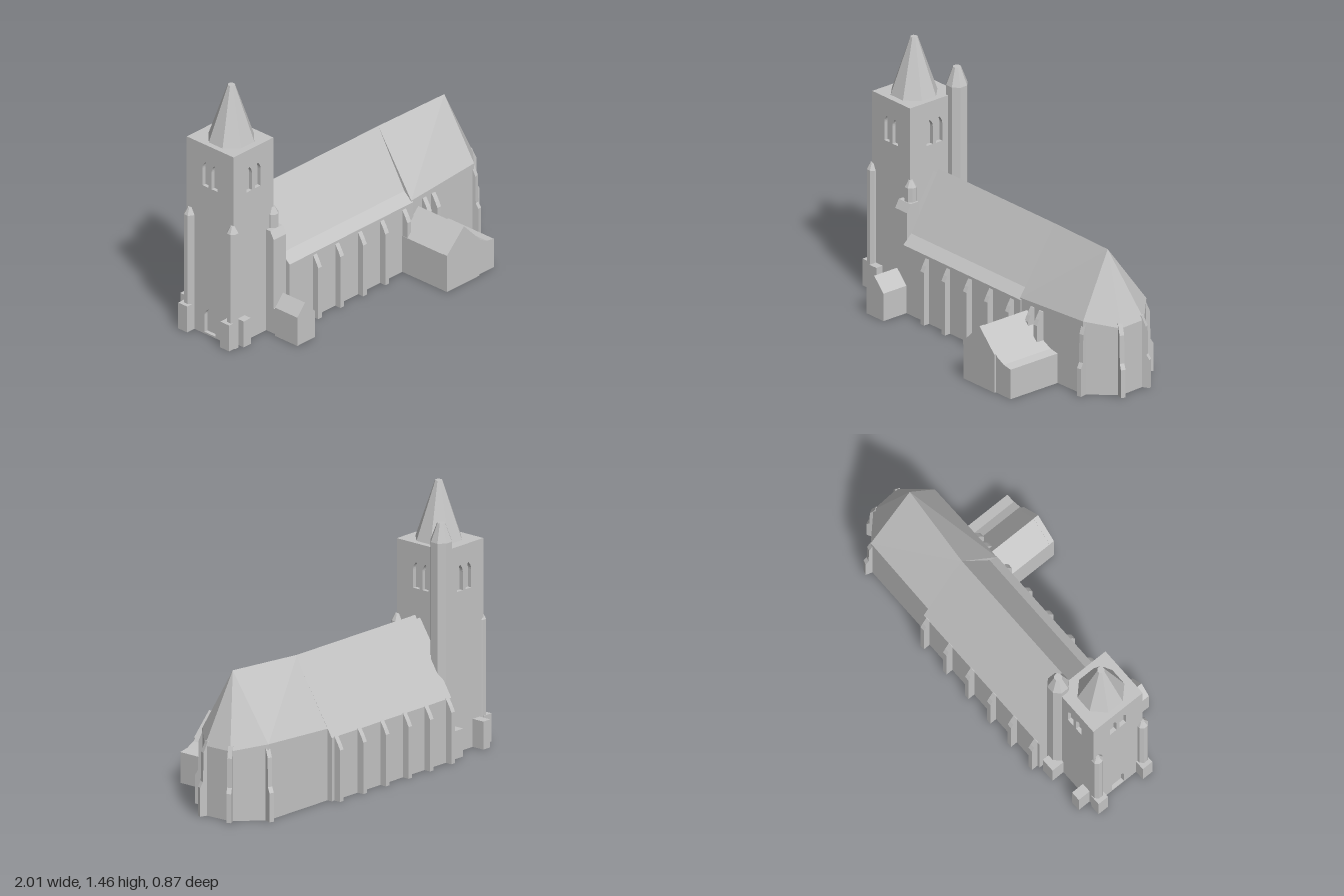
import * as THREE from 'three';
import { ConvexGeometry } from 'three/addons/geometries/ConvexGeometry.js';

export function createModel() {
  const church = new THREE.Group();
  church.name = 'church';
  const stone = new THREE.MeshStandardMaterial({ color: 0xc4c4c4 });
  stone.name = 'stone';

  const add = (name, geometry, x = 0, y = 0, z = 0, ry = 0) => {
    const mesh = new THREE.Mesh(geometry, stone);
    mesh.name = name;
    mesh.position.set(x, y, z);
    mesh.rotation.y = ry;
    church.add(mesh);
    return mesh;
  };
  const shapeOf = (pts) => new THREE.Shape(pts.map(([a, b]) => new THREE.Vector2(a, b)));
  const extrude = (shape, depth) =>
    new THREE.ExtrudeGeometry(shape, { depth, bevelEnabled: false, curveSegments: 5 });

  // Box given by its limits, standing on the ground
  const block = (name, x0, x1, z0, z1, h) =>
    add(name, new THREE.BoxGeometry(x1 - x0, h, z1 - z0), (x0 + x1) / 2, h / 2, (z0 + z1) / 2);
  // Profile of [z, y] points, extruded along x
  const alongX = (name, pts, x0, x1) =>
    add(name, extrude(shapeOf(pts.map(([z, y]) => [-z, y])), x1 - x0).rotateY(Math.PI / 2), x0);
  // Profile of [x, y] points, extruded along z
  const alongZ = (name, pts, z0, z1) => add(name, extrude(shapeOf(pts), z1 - z0), 0, 0, z0);
  // Faceted frustum with flat sides facing the axes
  const frustum = (name, rTop, rBottom, y0, y1, x, z, sides = 8) => {
    const g = new THREE.CylinderGeometry(rTop, rBottom, y1 - y0, sides)
      .rotateY(Math.PI / sides).toNonIndexed();
    g.computeVertexNormals();
    return add(name, g, x, (y0 + y1) / 2, z);
  };

  // ---- Tower: core with four pierced wall plates ----
  const T = { x0: -0.945, x1: -0.64, z0: -0.315, z1: 0.025, h: 1.135, t: 0.022 };
  const cx = (T.x0 + T.x1) / 2, cz = (T.z0 + T.z1) / 2;
  block('towerCore', T.x0 + T.t, T.x1 - T.t, T.z0 + T.t, T.z1 - T.t, T.h);

  const lancet = (u, y0, w, h) => {
    const p = new THREE.Path();
    const spring = y0 + h * 0.7;
    p.moveTo(u - w / 2, y0);
    p.lineTo(u + w / 2, y0);
    p.lineTo(u + w / 2, spring);
    p.quadraticCurveTo(u + w / 2, spring + h * 0.17, u, y0 + h);
    p.quadraticCurveTo(u - w / 2, spring + h * 0.17, u - w / 2, spring);
    p.closePath();
    return p;
  };
  const wall = (name, width, x, z, ry, door) => {
    const s = shapeOf([[-width / 2, 0], [width / 2, 0], [width / 2, T.h], [-width / 2, T.h]]);
    for (const u of [-0.033, 0.033]) s.holes.push(lancet(u, 0.885, 0.044, 0.145));
    if (door) s.holes.push(lancet(0, 0.01, 0.08, 0.15));
    add(name, extrude(s, T.t).translate(0, 0, -T.t), x, 0, z, ry);
  };
  const w = T.x1 - T.x0, d = T.z1 - T.z0;
  wall('towerFrontWall', w, cx, T.z1, 0);
  wall('towerBackWall', w, cx, T.z0, Math.PI);
  wall('towerEastWall', d, T.x1, cz, Math.PI / 2);
  wall('towerWestWall', d, T.x0, cz, -Math.PI / 2, true);

  frustum('spire', 0.02, 0.13, T.h, 1.455, -0.793, -0.135);

  // ---- Stair turret ----
  frustum('stairTurret', 0.06, 0.06, 0, 1.19, -0.632, -0.295);
  frustum('stairTurretCap', 0.022, 0.06, 1.19, 1.29, -0.632, -0.295);

  // ---- Corner pinnacles and low buttresses of the tower ----
  for (const [x, z] of [[-0.947, 0.02], [-0.947, -0.29], [-0.64, 0.02]]) {
    frustum('cornerPinnacle', 0.033, 0.033, 0, 0.685, x, z);
    frustum('cornerPinnacleCap', 0.012, 0.033, 0.685, 0.722, x, z);
  }
  for (const [x0, x1, z0, z1] of [
    [-1, -0.94, -0.325, -0.26], [-1, -0.94, -0.02, 0.045],
    [-0.915, -0.86, 0, 0.07], [-0.915, -0.86, -0.39, -0.3], [-0.7, -0.62, -0.39, -0.3],
  ]) block('towerButtress', x0, x1, z0, z1, 0.155);
  alongX('towerSidePier', [[0, 0], [0.08, 0], [0.08, 0.56], [0.055, 0.605], [0, 0.605]], -0.695, -0.6);

  // ---- Nave ----
  alongX('naveLink', [[0.02, 0], [0.02, 0.48], [-0.14, 0.73], [-0.31, 0.47], [-0.31, 0]], -0.65, -0.59);
  alongX('nave', [[0.105, 0], [0.105, 0.385], [0.05, 0.435], [-0.14, 0.755],
    [-0.395, 0.35], [-0.395, 0]], -0.6, 0.35);

  // East part of the nave with the many-sided apse
  const apse = [[0.82, -0.365], [0.965, -0.225], [0.975, -0.055], [0.835, 0.088]];
  const pts = [[0.34, 0.755, -0.14], [0.81, 0.773, -0.105]];
  for (const [x, z, eave] of [[0.34, -0.365, 0.395], [0.34, 0.1, 0.395],
    ...apse.map(([x, z], i) => [x, z, i === 0 || i === 3 ? 0.42 : 0.385])])
    pts.push([x, 0, z], [x, eave, z]);
  add('apse', new ConvexGeometry(pts.map((p) => new THREE.Vector3(...p))));

  // ---- Nave buttresses with sloping heads ----
  const buttress = (x, wallZ, out, top) => {
    const z = (k) => wallZ + out * k;
    alongX('naveButtress', [[z(-0.03), 0], [z(0.04), 0], [z(0.04), top - 0.07],
      [z(0.025), top - 0.04], [z(0), top], [z(-0.03), top]], x - 0.014, x + 0.014);
  };
  for (const x of [-0.57, -0.4, -0.23, -0.05, 0.13, 0.315]) buttress(x, -0.395, -1, 0.355);
  for (const x of [-0.405, -0.235, -0.06, 0.11, 0.28, 0.44, 0.51]) buttress(x, 0.102, 1, 0.375);

  // Apse buttresses, pointing outward from each corner
  apse.forEach(([x, z], i) => {
    const angle = [1.25, 0.5, -0.35, -1.35][i];
    const g = extrude(shapeOf([[-0.03, 0], [0.035, 0], [0.035, 0.16], [0.018, 0.19],
      [0.015, 0.35], [-0.01, 0.41], [-0.03, 0.41]]), 0.026).translate(0, 0, -0.013);
    add('apseButtress', g, x, 0, z, angle);
  });

  // ---- Side annex with a flared east roof, and small porch ----
  alongZ('annex', [[0.265, 0], [0.635, 0], [0.635, 0.17], [0.58, 0.18], [0.53, 0.205],
    [0.395, 0.342], [0.265, 0.215]], 0.06, 0.42);
  alongZ('annexGable', [[0.265, 0], [0.515, 0], [0.515, 0.22], [0.395, 0.344], [0.265, 0.217]], 0.4, 0.43);
  alongZ('porch', [[-0.71, 0], [-0.575, 0], [-0.575, 0.158], [-0.65, 0.237], [-0.71, 0.17]], 0.105, 0.265);
  block('porchLink', -0.695, -0.58, 0.03, 0.11, 0.15);

  return church;
}
